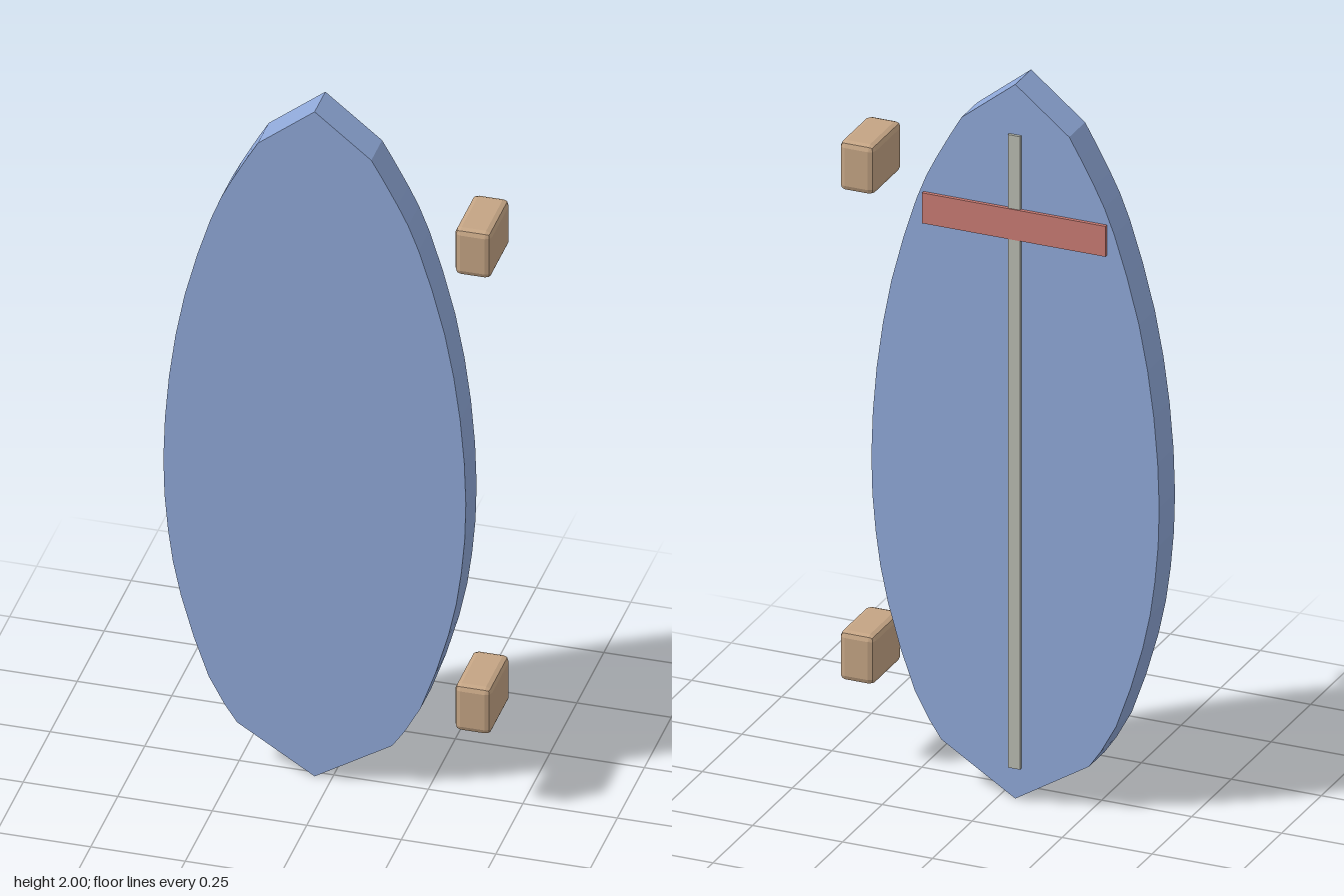
import * as THREE from 'three';
import { RoundedBoxGeometry } from 'three/addons/geometries/RoundedBoxGeometry.js';

const material = (name, color) => {
  const m = new THREE.MeshStandardMaterial({ color });
  m.name = name;
  return m;
};

export function createModel() {
  const model = new THREE.Group();
  const blue = material('blue', 0x8fa8d8);
  const tan = material('tan', 0xc4a484);
  const red = material('red', 0xc97b73);
  const grey = material('grey', 0xb8bab0);
  const centre = -0.045;

  const add = (name, geometry, mat, x, y, z) => {
    const mesh = new THREE.Mesh(geometry, mat);
    mesh.name = name;
    mesh.position.set(x, y, z);
    model.add(mesh);
  };

  // Leaf-shaped board: curved sides (half width, height) between two pointed tips
  const side = new THREE.SplineCurve([
    [0.15, 1.88], [0.22, 1.755], [0.275, 1.63], [0.344, 1.39], [0.385, 1.14],
    [0.4, 0.89], [0.388, 0.68], [0.354, 0.487], [0.28, 0.255], [0.205, 0.13],
  ].map(([x, y]) => new THREE.Vector2(x, y))).getPoints(18);
  const outline = [
    new THREE.Vector2(0, 0.003),
    ...side.slice().reverse(),
    new THREE.Vector2(0, 2),
    ...side.map((p) => new THREE.Vector2(-p.x, p.y)),
  ];
  const board = new THREE.ExtrudeGeometry(new THREE.Shape(outline), { depth: 0.1, bevelEnabled: false });
  add('board', board, blue, centre, 0, -0.08);

  // Thin strips on the back
  add('stringer', new THREE.BoxGeometry(0.034, 1.77, 0.008), grey, centre, 0.975, -0.084);
  add('crossBar', new THREE.BoxGeometry(0.51, 0.085, 0.01), red, centre, 1.612, -0.086);

  // Chamfered wall blocks beside the board
  for (const [name, y] of [['lowerBlock', 0.318], ['upperBlock', 1.688]]) {
    const block = new RoundedBoxGeometry(0.097, 0.138, 0.184, 1, 0.016);
    block.computeVertexNormals();
    add(name, block, tan, 0.392, y, -0.001);
  }
  return model;
}
